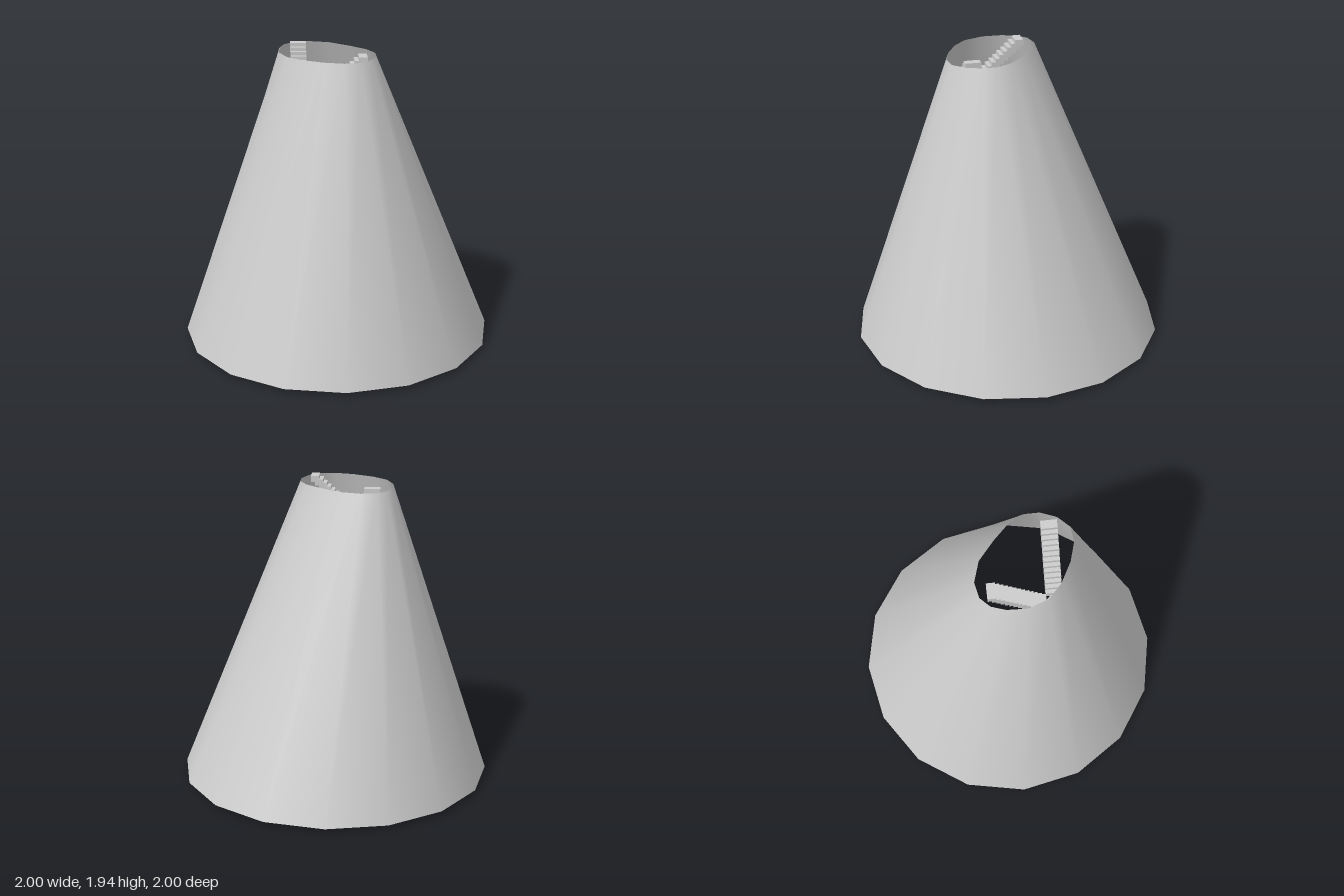
import * as THREE from 'three';

const grey = new THREE.MeshStandardMaterial({ color: 0xcccccc });
const greyThin = new THREE.MeshStandardMaterial({ color: 0xcccccc, side: THREE.DoubleSide });
const greyFlat = new THREE.MeshStandardMaterial({ color: 0xcccccc, flatShading: true });

const BASE_Y = 0.025, RIM_Y = 1.92;

// Irregular opening at the top, [x, z], running from +x towards +z
const RIM = [
  [0.23, 0.12], [0.23, 0.21], [0.19, 0.31], [0.12, 0.38],
  [0.02, 0.39], [-0.10, 0.355], [-0.23, 0.285], [-0.32, 0.20],
  [-0.365, 0.075], [-0.36, -0.05], [-0.33, -0.14], [-0.27, -0.20],
  [-0.17, -0.22], [-0.04, -0.18], [0.08, -0.08], [0.18, 0.02],
];

// Open shell lofted from a 16-sided base to the skewed rim
function makeShell() {
  const n = RIM.length, positions = [], index = [];
  RIM.forEach(([x, z], i) => {
    const a = (i / n) * Math.PI * 2;
    positions.push(Math.cos(a), BASE_Y, Math.sin(a), x, RIM_Y, z);
    const b = 2 * i, c = 2 * ((i + 1) % n);
    index.push(b, b + 1, c, c, b + 1, c + 1);
  });
  const geometry = new THREE.BufferGeometry();
  geometry.setAttribute('position', new THREE.Float32BufferAttribute(positions, 3));
  geometry.setIndex(index);
  geometry.computeVertexNormals();
  const shell = new THREE.Mesh(geometry, greyThin);
  shell.name = 'coneShell';
  return shell;
}

// Straight flight of overlapping blocks climbing along +x from the origin
function makeFlight(name) {
  const steps = 13, run = 0.0255, rise = 0.023, depth = 0.053, height = 0.04;
  const flight = new THREE.Group();
  flight.name = name;
  const geometry = new THREE.BoxGeometry(depth, height, 0.1);
  for (let i = 0; i < steps; i++) {
    const step = new THREE.Mesh(geometry, grey);
    step.name = 'step';
    step.position.set(depth / 2 + i * run, 1.937 - height / 2 - (steps - 1 - i) * rise, 0);
    flight.add(step);
  }
  return flight;
}

export function createModel() {
  const model = new THREE.Group();
  model.add(makeShell());

  // Octagonal post with flat faces towards the axes
  const px = -0.24, pz = 0.255, postTop = 1.63;
  const post = new THREE.Mesh(
    new THREE.CylinderGeometry(0.054, 0.054, postTop, 8).rotateY(Math.PI / 8), greyFlat);
  post.name = 'post';
  post.position.set(px, postTop / 2, pz);
  model.add(post);

  // Two flights leaving the post at right angles
  const sideFlight = makeFlight('sideFlight');
  sideFlight.position.set(px + 0.05, 0, pz);
  const backFlight = makeFlight('backFlight');
  backFlight.rotation.y = Math.PI / 2;
  backFlight.position.set(px, 0, pz - 0.05);
  model.add(sideFlight, backFlight);

  return model;
}
